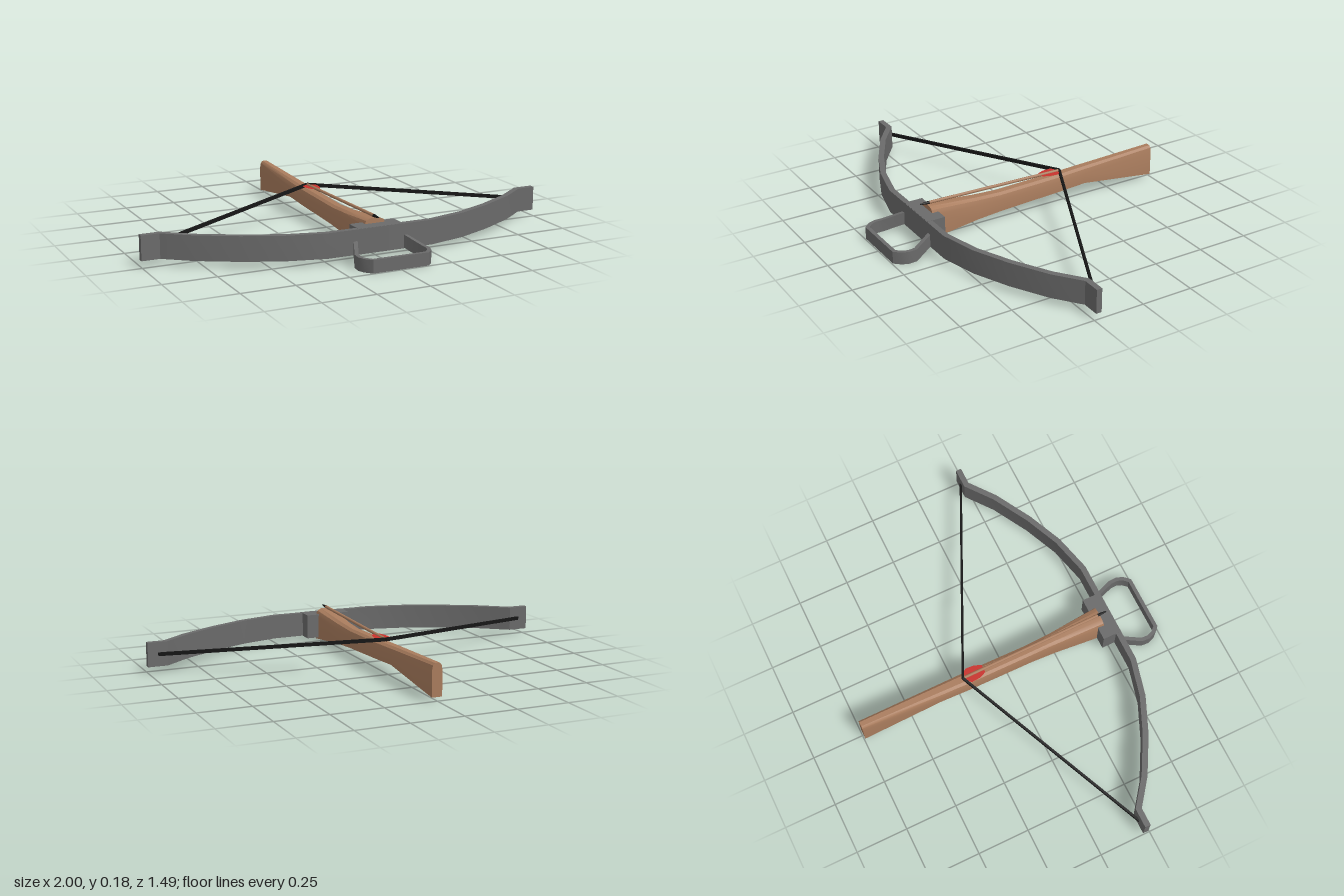
import * as THREE from 'three';
import { toCreasedNormals } from 'three/addons/utils/BufferGeometryUtils.js';

const mat = (name, color) => Object.assign(new THREE.MeshStandardMaterial({ color }), { name });
const V = (x, y, z) => new THREE.Vector3(x, y, z);

// Skin a list of equal-sized rings (anticlockwise about the travel direction) and cap both ends
function loft(rings) {
  const n = rings[0].length, index = [];
  for (let r = 0; r < rings.length - 1; r++) {
    for (let i = 0; i < n; i++) {
      const a = r * n + i, b = r * n + (i + 1) % n;
      index.push(a, b, b + n, a, b + n, a + n);
    }
  }
  const last = (rings.length - 1) * n;
  for (let i = 1; i < n - 1; i++) {
    index.push(0, i + 1, i, last, last + i, last + i + 1);
  }
  const g = new THREE.BufferGeometry().setFromPoints(rings.flat());
  g.setIndex(index);
  return toCreasedNormals(g, 0.5);
}

// Upright flat bar following a path, with mitred corners
function bar(path, thickness, height) {
  const up = V(0, 1, 0);
  const side = (a, b) => up.clone().cross(b.clone().sub(a).setY(0)).normalize();
  return loft(path.map((p, i) => {
    const s0 = side(path[Math.max(i - 1, 0)], path[Math.max(i, 1)]);
    const s1 = side(path[Math.min(i, path.length - 2)], path[Math.min(i + 1, path.length - 1)]);
    const u = s0.clone().add(s1).normalize();
    u.multiplyScalar(thickness / 2 / u.dot(s0));
    return [[-1, -1], [1, -1], [1, 1], [-1, 1]].map(([a, b]) =>
      p.clone().addScaledVector(u, a).addScaledVector(up, b * height / 2));
  }));
}

// Complete a right-to-centre path by mirroring it in x
const mirrored = (half) => [
  ...half.map(([x, y, z]) => V(-x, y, z)),
  ...half.filter((p) => p[0] > 0).reverse().map(([x, y, z]) => V(x, y, z)),
];

export function createModel() {
  const model = new THREE.Group();
  model.name = 'crossbow';
  const wood = mat('wood', 0xa97c5d);
  const steel = mat('steel', 0x6a6a6a);
  const black = mat('black', 0x161616);
  const red = mat('red', 0xc8322c);
  red.side = THREE.DoubleSide;
  const add = (name, geometry, material, parent = model) => {
    const m = new THREE.Mesh(geometry, material);
    m.name = name;
    parent.add(m);
    return m;
  };

  // Stock: stations of z, half width, bottom, top
  const stations = [
    [-0.745, 0.025, 0.018, 0.17], [-0.35, 0.033, 0.073, 0.155], [-0.2, 0.036, 0.066, 0.149],
    [0.12, 0.034, 0.05, 0.14], [0.25, 0.038, 0.042, 0.147], [0.495, 0.053, 0.018, 0.17],
  ];
  add('stock', loft(stations.map(([z, w, b, t]) => [
    V(-w, b, z), V(w, b, z), V(w, t - 0.032, z), V(w * 0.82, t - 0.01, z), V(w * 0.45, t, z),
    V(-w * 0.45, t, z), V(-w * 0.82, t - 0.01, z), V(-w, t - 0.032, z),
  ])), wood);

  // Bow limbs and the block that joins them to the stock
  const limbY = 0.088;
  add('bowLimbs', bar(mirrored([
    [1, limbY, 0.228], [0.91, limbY, 0.228], [0.785, limbY, 0.324], [0.61, limbY, 0.422],
    [0.44, limbY, 0.496], [0.26, limbY, 0.541], [0, limbY, 0.541],
  ]), 0.027, 0.115), steel);
  add('mountBlock', new THREE.BoxGeometry(0.22, 0.117, 0.09), steel).position.set(0, limbY, 0.508);

  // Foot stirrup
  add('stirrup', bar(mirrored([
    [0.123, 0.064, 0.55], [0.165, 0.032, 0.645], [0.167, 0.031, 0.68],
    [0.156, 0.031, 0.71], [0.132, 0.031, 0.736],
  ]), 0.018, 0.06), steel);

  // Drawn string, one length to each limb tip
  for (const s of [-1, 1]) {
    const a = V(0.95 * s, 0.088, 0.215), b = V(0, 0.16, -0.222);
    const string = add(s > 0 ? 'leftString' : 'rightString',
      new THREE.BoxGeometry(0.011, 0.016, a.distanceTo(b)), black);
    string.position.copy(a).lerp(b, 0.5);
    string.lookAt(a);
  }

  // Bolt, built along its own z and tilted slightly upward
  const bolt = new THREE.Group();
  bolt.name = 'bolt';
  bolt.position.set(0, 0.161, -0.215);
  bolt.rotation.x = -0.024;
  model.add(bolt);
  const shaft = new THREE.CylinderGeometry(0.0075, 0.0075, 0.7, 8).rotateX(Math.PI / 2);
  add('boltShaft', shaft, wood, bolt).position.z = 0.35;
  const tip = new THREE.CylinderGeometry(0.003, 0.008, 0.045, 8).rotateX(Math.PI / 2);
  add('boltTip', tip, black, bolt).position.z = 0.722;

  // Flat vanes either side of the bolt
  const vane = new THREE.Shape([[0, 0.005], [0.024, 0.005], [0.037, 0.025], [0.034, 0.065], [0.02, 0.1], [0, 0.1]]
    .map(([x, y]) => new THREE.Vector2(x, y)));
  for (const s of [-1, 1]) {
    const g = new THREE.ShapeGeometry(vane).rotateX(Math.PI / 2);
    add(s > 0 ? 'leftVane' : 'rightVane', g, red, bolt).rotation.z = s > 0 ? 0 : Math.PI;
  }
  return model;
}
